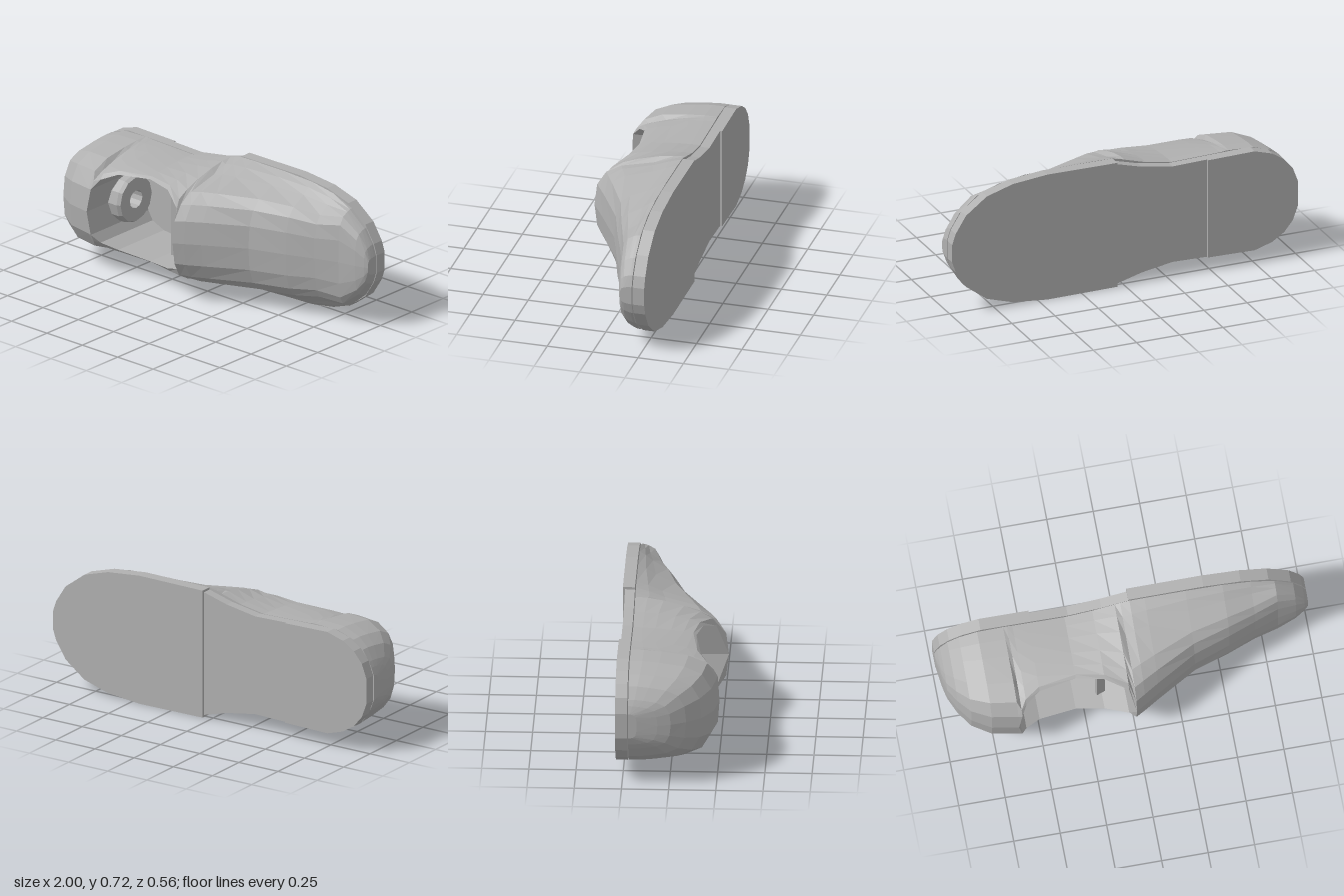
import * as THREE from 'three';

const MID = 0.36; // height of the shoe's centre line (it lies on its side)
const BED = -0.215; // lower face of the upper

// Cross-section rules: [width factor, height factor] from sole edge to crown
const SLIM = [[1, 0], [0.94, 0.15], [0.85, 0.33], [0.72, 0.7], [0.58, 0.87], [0.35, 0.97], [0, 1]];
const FULL = [[1, 0], [1, 0.15], [0.97, 0.35], [0.9, 0.65], [0.75, 0.86], [0.45, 0.97], [0, 1]];
const OPEN = [[1, 0], [0.97, 0.15], [0.88, 0.35], [0.7, 0.6], [0.5, 0.8], [0.27, 0.95], [0, 1]];

// Stations from heel to toe: x, half width, crown z, rule, half width of the opening
const STATIONS = [
  [-1, 0.07, -0.17, FULL, 0], [-0.985, 0.11, -0.06, FULL, 0], [-0.97, 0.14, 0.01, FULL, 0],
  [-0.93, 0.2, 0.09, FULL, 0], [-0.87, 0.245, 0.17, FULL, 0], [-0.77, 0.28, 0.23, FULL, 0],
  [-0.63, 0.285, 0.255, FULL, 0],
  [-0.61, 0.285, 0.245, OPEN, 0.13], [-0.58, 0.282, 0.2, OPEN, 0.18], [-0.5, 0.28, 0.15, OPEN, 0.215],
  [-0.3, 0.275, 0.12, OPEN, 0.235], [-0.15, 0.3, 0.15, OPEN, 0.225], [-0.03, 0.335, 0.215, OPEN, 0.175],
  [0, 0.345, 0.28, SLIM, 0], [0.05, 0.355, 0.25, SLIM, 0], [0.13, 0.357, 0.2, SLIM, 0],
  [0.35, 0.357, 0.07, SLIM, 0], [0.55, 0.35, 0, SLIM, 0], [0.7, 0.325, -0.06, SLIM, 0],
  [0.83, 0.275, -0.105, FULL, 0], [0.93, 0.19, -0.125, FULL, 0], [0.98, 0.11, -0.14, FULL, 0],
  [1, 0.05, -0.15, FULL, 0],
];

// Half section as points, side = 1 or -1
function section([x, w, top, rule, rim], side) {
  return rule.map(([fy, fz]) => [x, MID + side * (rim + (w - rim) * fy), BED + (top - BED) * fz]);
}

// Surface between consecutive rows of points
function skin(rows, flip) {
  const pos = [];
  for (let i = 0; i < rows.length - 1; i++) {
    for (let j = 0; j < rows[i].length - 1; j++) {
      const a = rows[i][j], b = rows[i + 1][j], c = rows[i + 1][j + 1], d = rows[i][j + 1];
      const tris = flip ? [a, c, b, a, d, c] : [a, b, c, a, c, d];
      pos.push(...tris.flat());
    }
  }
  const g = new THREE.BufferGeometry();
  g.setAttribute('position', new THREE.Float32BufferAttribute(pos, 3));
  g.computeVertexNormals();
  return g;
}

// Slab of the sole between two x limits
function soleSlab(outline, back, front) {
  const pts = [...outline.map(([x, w]) => new THREE.Vector2(x, MID + w)),
    ...outline.slice().reverse().map(([x, w]) => new THREE.Vector2(x, MID - w))];
  const g = new THREE.ExtrudeGeometry(new THREE.Shape(pts), { depth: front - back, bevelEnabled: false });
  return g.translate(0, 0, back);
}

export function createModel() {
  const group = new THREE.Group();
  const grey = new THREE.MeshStandardMaterial({ color: 0xb0b0b0, flatShading: true, side: THREE.DoubleSide });
  grey.name = 'grey';
  const add = (name, geometry) => {
    const mesh = new THREE.Mesh(geometry, grey);
    mesh.name = name;
    group.add(mesh);
    return mesh;
  };

  // Upper: two mirrored halves, with an inner wall dropping from the collar
  for (const side of [1, -1]) {
    const label = side > 0 ? 'top' : 'bottom';
    const rows = STATIONS.map((s) => section(s, side));
    add(label + 'Upper', skin(rows, side < 0));
    const collar = rows.slice(6, 14).map((r) => r[6]);
    add(label + 'InnerWall', skin(collar.map(([x, y, z]) => [[x, y, z], [x, y, BED]]), side < 0));
  }

  // Footbed closing the upper from below
  add('footbed', skin(STATIONS.map(([x, w]) => [[x, MID - w, BED], [x, MID + w, BED]]), false));

  // Small caps at the heel and toe ends
  for (const [name, s] of [['heelCap', STATIONS[0]], ['toeCap', STATIONS[STATIONS.length - 1]]]) {
    add(name, skin([section(s, -1), section(s, 1)], name === 'toeCap'));
  }

  // Sole: heel, slightly recessed arch and forefoot
  add('heelSole', soleSlab([[-1, 0.07], [-0.97, 0.15], [-0.92, 0.21], [-0.85, 0.255], [-0.75, 0.285],
    [-0.48, 0.28]], -0.284, -0.22));
  add('archSole', soleSlab([[-0.48, 0.28], [-0.28, 0.275], [-0.1, 0.305], [0.045, 0.345]], -0.272, -0.22));
  add('forefootSole', soleSlab([[0.045, 0.357], [0.45, 0.36], [0.65, 0.34], [0.8, 0.295], [0.92, 0.205],
    [0.98, 0.11], [1, 0.05]], -0.284, -0.22));

  // Ring standing inside the heel
  const profile = [[0.05, 0], [0.135, 0], [0.135, 0.06], [0.125, 0.08], [0.05, 0.08], [0.05, 0]]
    .map(([r, h]) => new THREE.Vector2(r, h));
  const ring = add('heelRing', new THREE.LatheGeometry(profile, 12));
  ring.rotation.z = -Math.PI / 2;
  ring.position.set(-0.63, MID, -0.05);

  // Bar across the opening
  const bar = add('crossBar', new THREE.BoxGeometry(0.05, 0.35, 0.02));
  bar.rotation.y = 0.35;
  bar.position.set(-0.16, MID, 0.07);

  return group;
}
